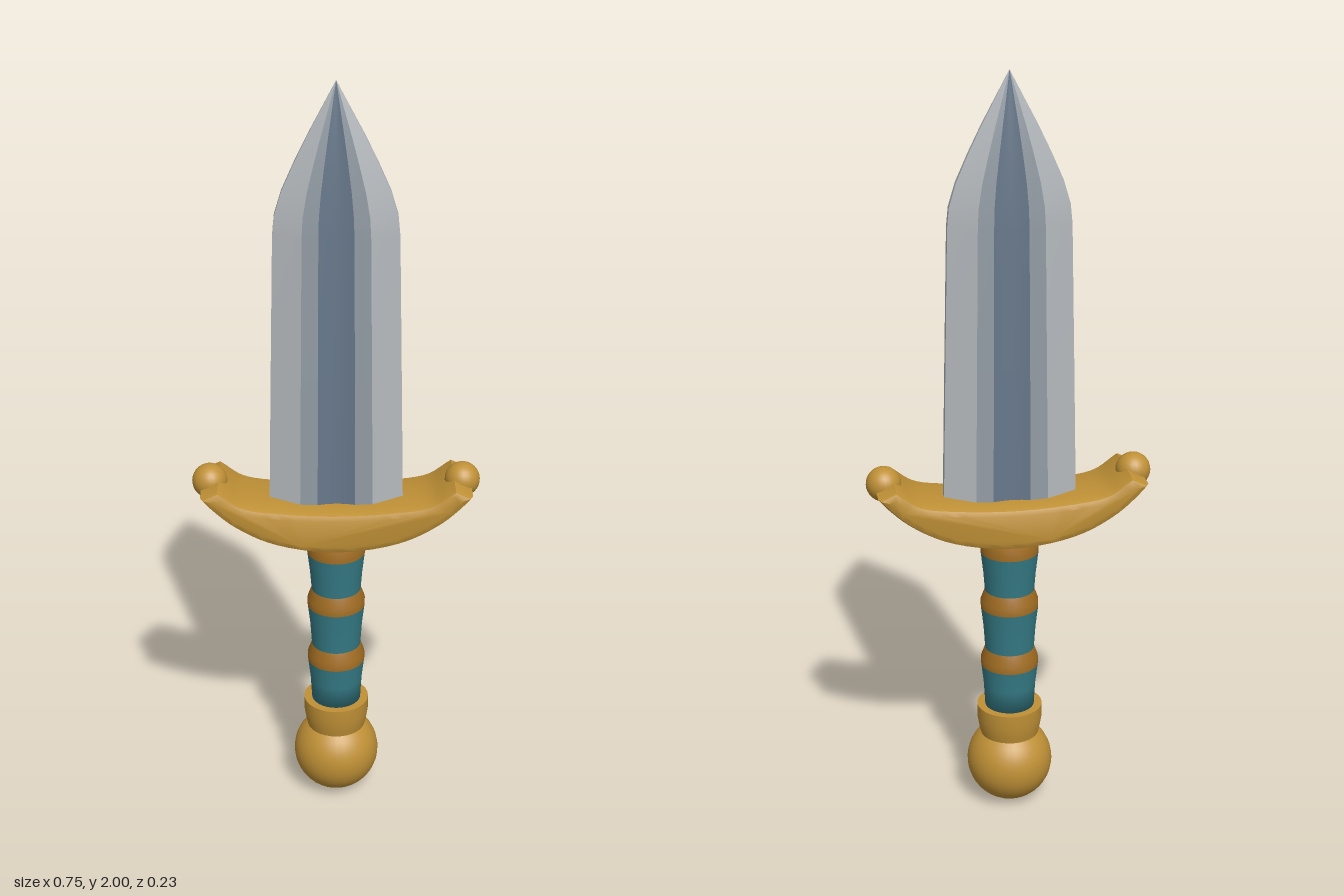
import * as THREE from 'three';
import { toCreasedNormals } from 'three/addons/utils/BufferGeometryUtils.js';

const material = (name, color) => Object.assign(new THREE.MeshStandardMaterial({ color }), { name });

export function createModel() {
  const edgeSteel = material('edge steel', 0xb4b9bd);
  const steel = material('steel', 0x929ba4);
  const fullerSteel = material('dark fuller steel', 0x67788b);
  const gold = material('gold', 0xbf9036);
  const bronze = material('bronze', 0xa06c22);
  const teal = material('teal grip', 0x357a85);

  const model = new THREE.Group();
  model.name = 'dagger';
  const add = (name, geometry, mat, parent = model) => {
    const mesh = new THREE.Mesh(geometry, mat);
    mesh.name = name;
    parent.add(mesh);
    return mesh;
  };

  // Blade: cross-section strips swept up through levels of [y, half width, half thickness]
  const levels = [
    [0.86, 0.175, 0.046], [1.25, 0.166, 0.042], [1.62, 0.157, 0.038], [1.67, 0.152, 0.036],
    [1.73, 0.134, 0.033], [1.8, 0.103, 0.028], [1.87, 0.069, 0.021], [1.94, 0.032, 0.011], [2, 0.0005, 0.0005],
  ];
  const strip = (points) => {
    const positions = [], indices = [], n = points.length;
    levels.forEach(([y, w, t], j) => points.forEach(([px, pz], i) => {
      positions.push(px * w, y, pz * t);
      if (j && i) {
        const c = j * n + i, a = c - n;
        indices.push(a - 1, a, c, a - 1, c, c - 1);
      }
    }));
    const geometry = new THREE.BufferGeometry();
    geometry.setAttribute('position', new THREE.Float32BufferAttribute(positions, 3));
    geometry.setIndex(indices);
    geometry.computeVertexNormals();
    return geometry;
  };
  const blade = new THREE.Group();
  blade.name = 'blade';
  model.add(blade);
  const R = 0.54, F = 0.28, E = 0.28; // ridge, fuller and edge proportions
  for (const side of [0, Math.PI]) {
    const half = new THREE.Group();
    half.name = side ? 'bladeBack' : 'bladeFront';
    half.rotation.y = side;
    blade.add(half);
    add('bevelRight', strip([[-1, E], [-R, 1]]), edgeSteel, half);
    add('flatRight', strip([[-R, 1], [-F, 0.98]]), steel, half);
    add('fuller', strip([[-F, 0.98], [-0.15, 0.83], [0, 0.76], [0.15, 0.83], [F, 0.98]]), fullerSteel, half);
    add('flatLeft', strip([[F, 0.98], [R, 1]]), steel, half);
    add('bevelLeft', strip([[R, 1], [1, E]]), edgeSteel, half);
    add('cuttingEdge', strip([[1, E], [1, -E]]), edgeSteel, half);
  }

  // Crescent guard with bevelled rims
  const curve = (points) => new THREE.CatmullRomCurve3(
    [...points.map(([x, y]) => new THREE.Vector3(-x, y, 0)),
      ...points.slice(0, -1).reverse().map(([x, y]) => new THREE.Vector3(x, y, 0))])
    .getPoints(32).map((p) => new THREE.Vector2(p.x, p.y));
  const lower = curve([[0.326, 0.937], [0.26, 0.878], [0.16, 0.826], [0, 0.801]]);
  const upper = curve([[0.308, 0.944], [0.25, 0.905], [0.14, 0.887], [0, 0.88]]).reverse();
  const guard = new THREE.ExtrudeGeometry(new THREE.Shape([...lower, ...upper]), {
    depth: 0.17, bevelEnabled: true, bevelThickness: 0.02, bevelSize: 0.018, bevelSegments: 2,
  });
  guard.translate(0, 0, -0.085);
  add('guard', toCreasedNormals(guard, 0.6), gold);
  for (const [name, s] of [['guardBallLeft', 1], ['guardBallRight', -1]]) {
    add(name, new THREE.SphereGeometry(0.046, 24, 16), gold).position.set(s * 0.329, 0.951, 0);
  }

  // Waisted grip sections alternating with bronze rings, profiles as [radius, y]
  const lathe = (name, profile, mat) =>
    add(name, new THREE.LatheGeometry(profile.map(([r, y]) => new THREE.Vector2(r, y)), 32), mat);
  lathe('gripLower', [[0, 0.28], [0.066, 0.28], [0.07, 0.35], [0.077, 0.41]], teal);
  lathe('ringLower', [[0.077, 0.41], [0.077, 0.43], [0.066, 0.46]], bronze);
  lathe('gripMiddle', [[0.066, 0.46], [0.07, 0.52], [0.077, 0.58]], teal);
  lathe('ringUpper', [[0.077, 0.58], [0.077, 0.6], [0.066, 0.63]], bronze);
  lathe('gripUpper', [[0.066, 0.63], [0.07, 0.68], [0.077, 0.74]], teal);
  lathe('gripCollar', [[0.077, 0.74], [0.077, 0.765], [0.068, 0.79], [0, 0.8]], bronze);

  // Pommel cup and ball
  const cup = new THREE.LatheGeometry(
    [[0, 0.19], [0.076, 0.19], [0.083, 0.22], [0.088, 0.25], [0.088, 0.288], [0, 0.288]]
      .map(([r, y]) => new THREE.Vector2(r, y)), 32);
  add('pommelCup', toCreasedNormals(cup, 0.6), gold);
  add('pommel', new THREE.SphereGeometry(0.116, 32, 24), gold).position.y = 0.118;

  return model;
}
